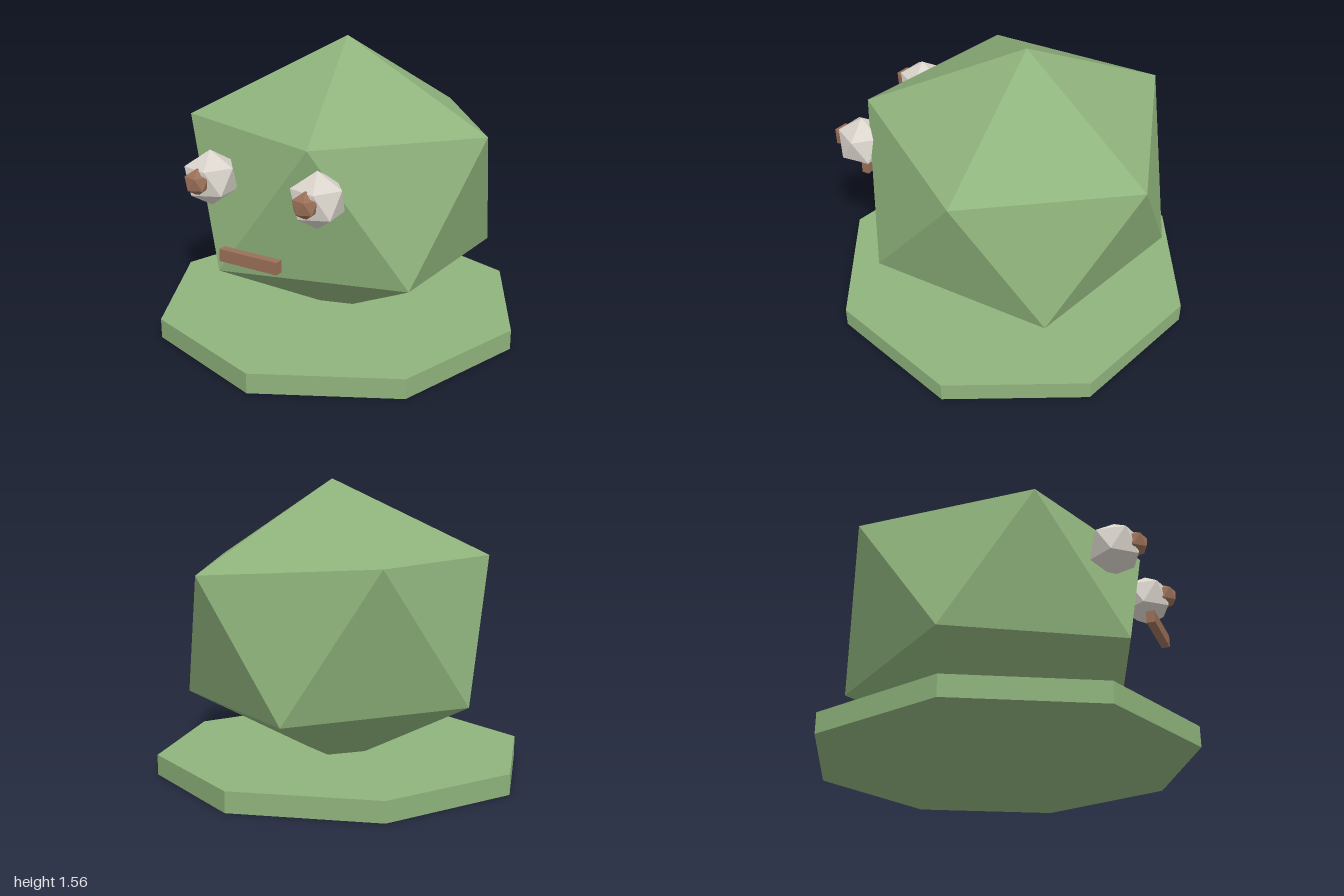
import * as THREE from 'three';

const material = (name, color) => {
  const m = new THREE.MeshStandardMaterial({ color });
  m.name = name;
  return m;
};

// Twenty-sided solid from a top point, two rings of five and a bottom point
function twentySided(top, upper, lower, bottom) {
  const tris = [];
  for (let i = 0; i < 5; i++) {
    const j = (i + 1) % 5;
    tris.push(top, upper[j], upper[i]);
    tris.push(upper[i], upper[j], lower[i]);
    tris.push(lower[i], upper[j], lower[j]);
    tris.push(bottom, lower[i], lower[j]);
  }
  const geo = new THREE.BufferGeometry();
  geo.setAttribute('position', new THREE.Float32BufferAttribute(tris.flat(), 3));
  geo.computeVertexNormals();
  return geo;
}

// Regular version standing on a point
function ball(r) {
  const ring = (start, y) => Array.from({ length: 5 }, (_, i) => {
    const a = start + (i * Math.PI * 2) / 5;
    return [Math.cos(a) * r * 0.894, y * r, Math.sin(a) * r * 0.894];
  });
  return twentySided([0, r, 0], ring(0, 0.447), ring(Math.PI / 5, -0.447), [0, -r, 0]);
}

export function createModel() {
  const group = new THREE.Group();
  const green = material('leaf green', 0x8fb37c);
  const white = material('warm white', 0xdad4cc);
  const brown = material('brown', 0x9a7058);

  const add = (name, geo, mat, x, y, z) => {
    const mesh = new THREE.Mesh(geo, mat);
    mesh.name = name;
    mesh.position.set(x, y, z);
    group.add(mesh);
    return mesh;
  };

  // Octagonal base slab
  const slab = new THREE.CylinderGeometry(1, 1, 0.107, 8).toNonIndexed();
  slab.computeVertexNormals();
  add('base', slab, green, 0, 0.0535, 0);

  // Irregular faceted body, rings run from +x towards +z
  const body = twentySided(
    [0.01, 1.56, -0.08],
    [[0.825, 1.13, 0], [0.2, 1.175, 0.735], [-0.69, 1.16, 0.365], [-0.62, 1.15, -0.595], [0.32, 1.09, -0.815]],
    [[0.63, 0.46, 0.51], [-0.305, 0.48, 0.735], [-0.81, 0.435, -0.085], [-0.19, 0.395, -0.815], [0.705, 0.41, -0.45]],
    [0, 0.02, -0.02]
  );
  add('body', body, green, 0, 0, 0);

  // Eyes with small pupils in front
  for (const [side, x, z, px] of [['right', -0.36, 0.69, -0.37], ['left', 0.262, 0.748, 0.255]]) {
    add(side + 'Eye', ball(0.143), white, x, 0.952, z);
    add(side + 'Pupil', ball(0.07), brown, px, 0.957, z + 0.102);
  }

  // Bar mouth, turned slightly
  add('mouth', new THREE.BoxGeometry(0.333, 0.063, 0.043), brown, -0.057, 0.622, 0.839).rotation.y = -0.08;

  return group;
}
